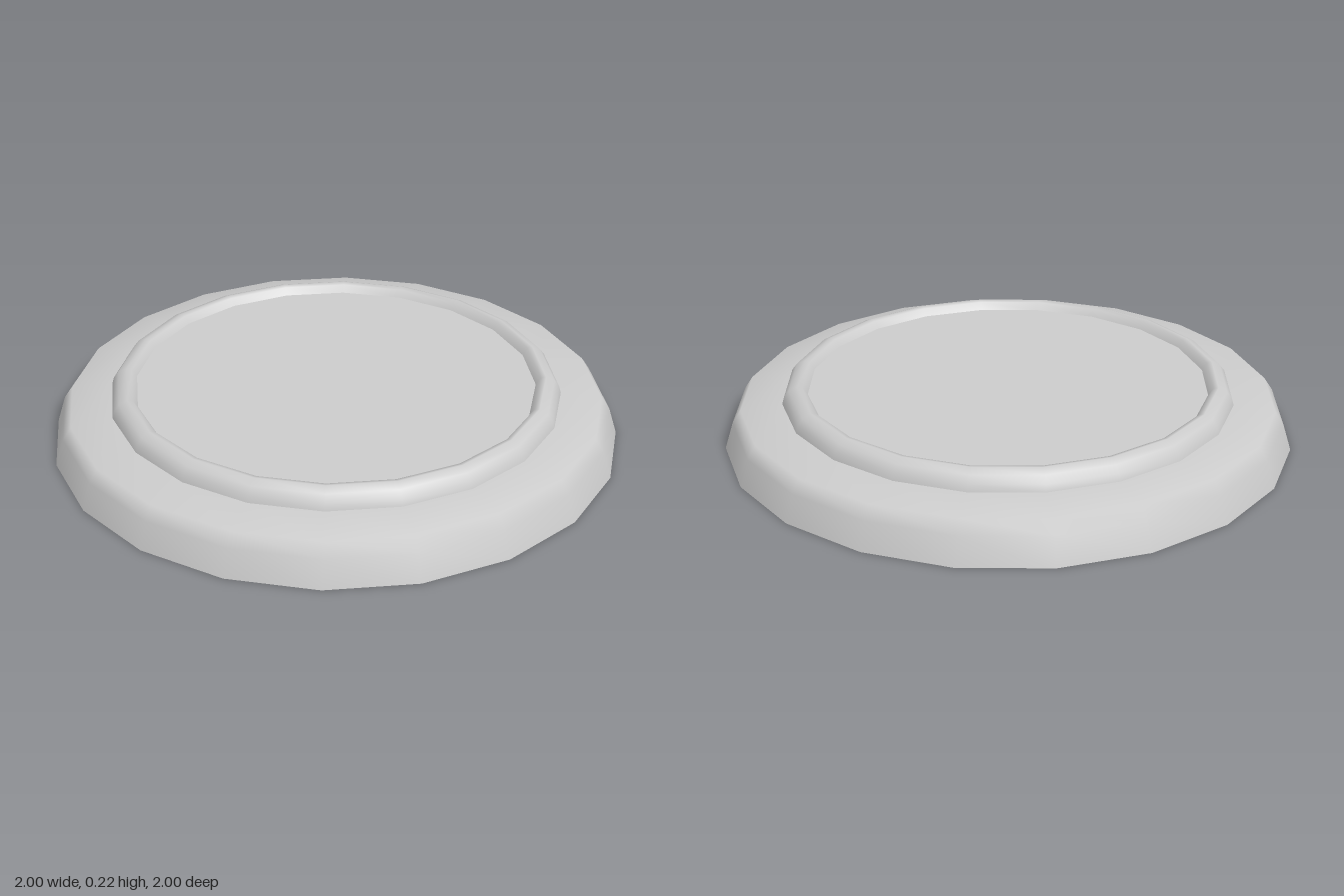
import * as THREE from 'three';

const SIDES = 20;

// Thin open shell turned around the vertical axis, smooth along its profile
function turned(name, profile, material) {
  const points = profile.map(([r, y]) => new THREE.Vector2(r, y));
  const mesh = new THREE.Mesh(new THREE.LatheGeometry(points, SIDES), material);
  mesh.name = name;
  return mesh;
}

export function createModel() {
  const group = new THREE.Group();
  group.name = 'lid';
  const material = new THREE.MeshStandardMaterial({ color: 0xcccccc, side: THREE.DoubleSide });

  // Flared skirt with a rounded shoulder, open underneath
  group.add(turned('rim', [[1, 0], [0.97, 0.095], [0.94, 0.14], [0.795, 0.155]], material));

  // Raised bead around the centre; separate shells keep its edges sharp
  group.add(turned('raisedRing', [
    [0.795, 0.155], [0.788, 0.18], [0.77, 0.204], [0.74, 0.217], [0.722, 0.213], [0.705, 0.187],
  ], material));

  // Flat centre, slightly sunk inside the bead
  group.add(turned('centrePanel', [[0.705, 0.187], [0, 0.187]], material));

  return group;
}
